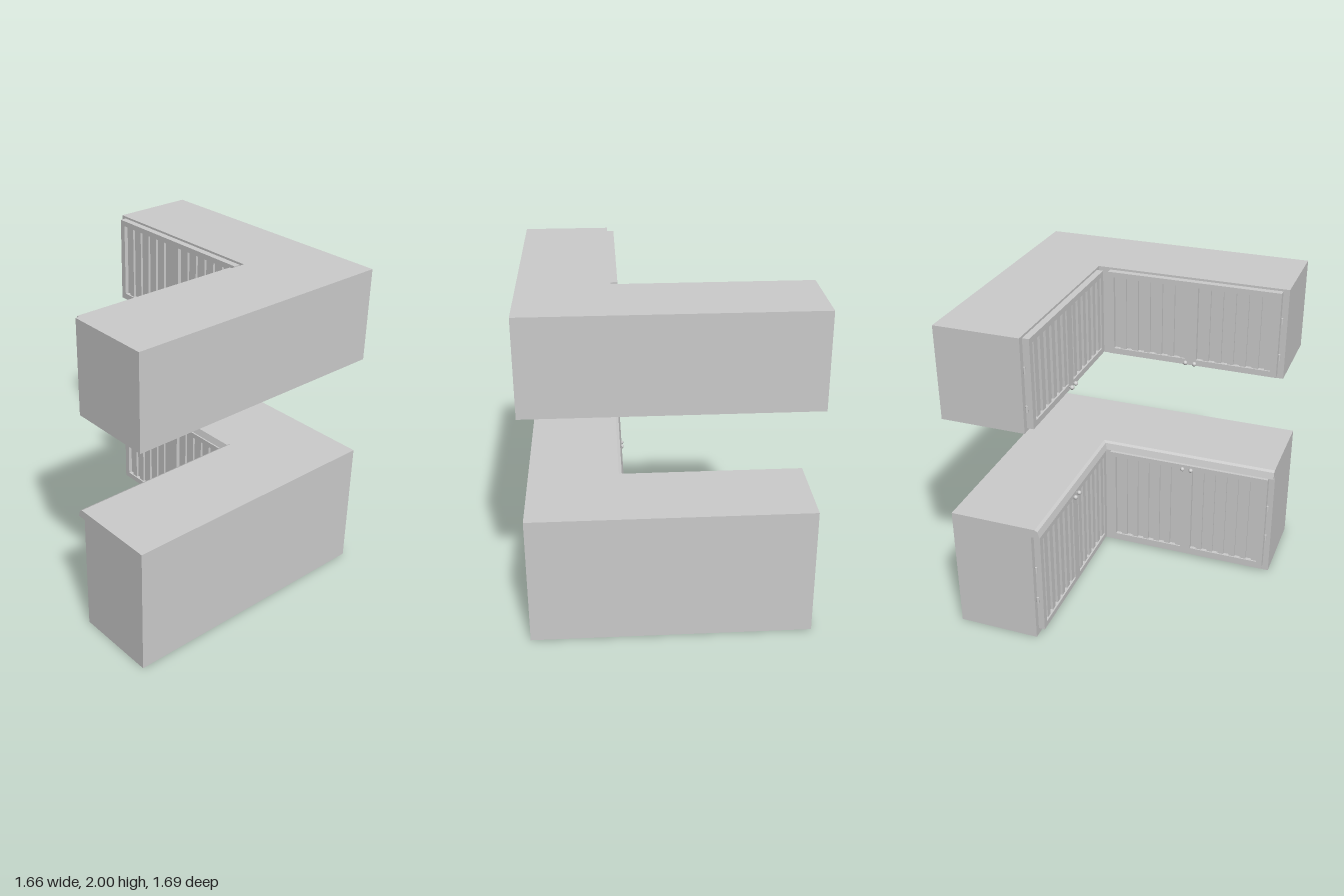
import * as THREE from 'three';

const material = new THREE.MeshStandardMaterial({ color: 0xcccccc, flatShading: true });
const smooth = new THREE.MeshStandardMaterial({ color: 0xcccccc });
const thin = new THREE.MeshStandardMaterial({ color: 0xcccccc, flatShading: true, side: THREE.DoubleSide });

const X = 0.83, Z = 0.845;            // half extents of the L footprint
const FX = 0.31, FZ = -0.335;         // cabinet fronts along the inner corner
const DOOR_W = 1.07, DOOR_T = 0.04;

function add(parent, name, geometry, x = 0, y = 0, z = 0, mat = material) {
  const mesh = new THREE.Mesh(geometry, mat);
  mesh.name = name;
  mesh.position.set(x, y, z);
  parent.add(mesh);
  return mesh;
}

// L-shaped carcass between two heights
function carcass(y0, y1) {
  const pts = [[-X, Z], [-X, -FZ], [FX, -FZ], [FX, -Z], [X, -Z], [X, Z]];
  const shape = new THREE.Shape(pts.map(p => new THREE.Vector2(...p)));
  const geo = new THREE.ExtrudeGeometry(shape, { depth: y1 - y0, bevelEnabled: false });
  return geo.rotateX(-Math.PI / 2).translate(0, y0, 0);
}

// Counter lip: a profile (overhang, height) swept round the inner corner with a mitre
function counterLip() {
  const profile = [[0, 0.746], [0.055, 0.748], [0.043, 0.79], [0.025, 0.8], [0, 0.8]];
  const n = profile.length, pos = [], idx = [];
  const stations = [
    o => [-X, FZ + o],
    o => [FX - o, FZ + o],
    o => [FX - o, Z],
  ];
  for (const at of stations) {
    for (const [o, y] of profile) {
      const [x, z] = at(o);
      pos.push(x, y, z);
    }
  }
  for (let s = 0; s < 2; s++) {
    for (let i = 0; i < n - 1; i++) {
      const a = s * n + i, b = a + n;
      idx.push(a, b, a + 1, b, b + 1, a + 1);
    }
  }
  for (let i = 1; i < n - 1; i++) {
    idx.push(0, i, i + 1, 2 * n, 2 * n + i + 1, 2 * n + i);
  }
  const geo = new THREE.BufferGeometry();
  geo.setAttribute('position', new THREE.Float32BufferAttribute(pos, 3));
  geo.setIndex(idx);
  geo.computeVertexNormals();
  return geo;
}

// Pair of slatted doors, centred on x, with backs on z = 0
function doorPair(y0, y1, knobY, hingeYs) {
  const g = new THREE.Group();
  const h = DOOR_W / 2, rail = 0.037, inner = 0.035;
  const panelW = h - rail - inner;
  const low = y0 + rail, high = y1 - rail * 0.9;

  const rect = (C, x0, x1, b, t) => new C([[x0, b], [x1, b], [x1, t], [x0, t]].map(p => new THREE.Vector2(...p)));
  const frame = rect(THREE.Shape, -h, h, y0, y1);
  for (const x0 of [-h + rail, inner]) frame.holes.push(rect(THREE.Path, x0, x0 + panelW, low, high));
  add(g, 'doorFrame', new THREE.ExtrudeGeometry(frame, { depth: DOOR_T, bevelEnabled: false }));

  // Alternating raised and sunken slats in each opening
  const count = 12, w = panelW / count;
  for (const x0 of [-h + rail, inner]) {
    for (let i = 0; i < count; i++) {
      const depth = i % 2 ? 0.03 : 0.015;
      add(g, 'slat', new THREE.BoxGeometry(w, high - low, depth), x0 + (i + 0.5) * w, (low + high) / 2, depth / 2);
    }
  }

  for (const side of [-1, 1]) {
    // Round knob on a short stem
    add(g, 'knob', new THREE.SphereGeometry(0.014, 16, 12), side * 0.0285, knobY, 0.055, smooth);
    const stem = add(g, 'knobStem', new THREE.CylinderGeometry(0.006, 0.006, 0.016, 12), side * 0.0285, knobY, 0.045, smooth);
    stem.rotation.x = Math.PI / 2;
    for (const y of hingeYs) {
      add(g, 'hinge', new THREE.CylinderGeometry(0.008, 0.008, 0.04, 12), side * (h + 0.004), y, 0.006, smooth);
    }
  }
  return g;
}

// Doors on both arms of the L
function addDoors(parent, ...args) {
  const back = doorPair(...args);
  back.name = 'backDoors';
  back.position.set(-0.26, 0, FZ);
  const side = doorPair(...args);
  side.name = 'sideDoors';
  side.position.set(FX, 0, 0.2725);
  side.rotation.y = -Math.PI / 2;
  parent.add(back, side);
}

export function createModel() {
  const model = new THREE.Group();
  model.name = 'cornerCabinets';

  const base = new THREE.Group();
  base.name = 'baseCabinet';
  add(base, 'baseCarcass', carcass(0, 0.8));
  add(base, 'counterLip', counterLip(), 0, 0, 0, thin);
  addDoors(base, 0.042, 0.726, 0.703, [0.265, 0.49]);

  const wall = new THREE.Group();
  wall.name = 'wallCabinet';
  add(wall, 'wallCarcass', carcass(1.432, 2));
  addDoors(wall, 1.45, 1.987, 1.467, [1.57, 1.803]);

  model.add(base, wall);
  return model;
}
